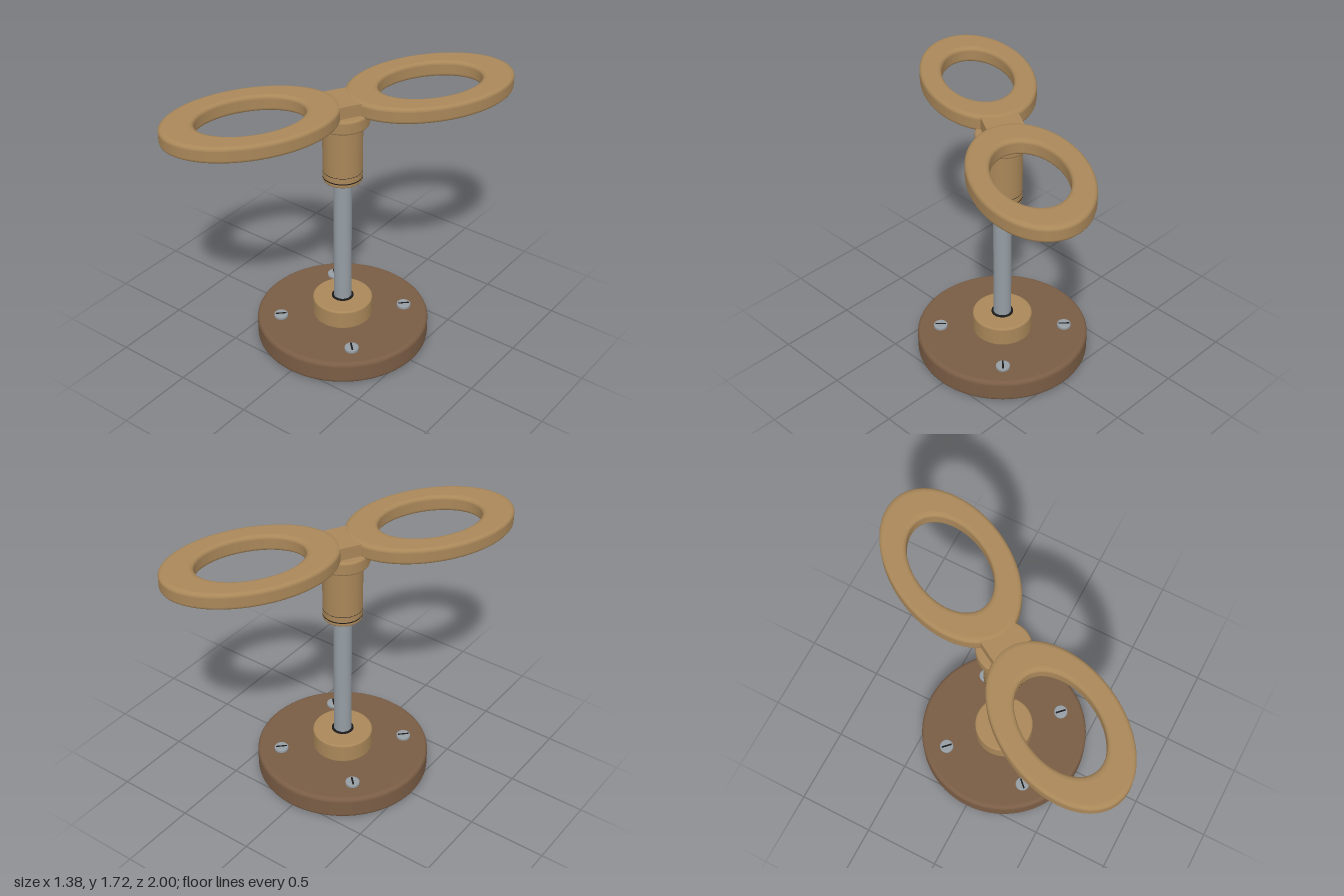
import * as THREE from 'three';

const mat = (name, color) => {
  const m = new THREE.MeshStandardMaterial({ color });
  m.name = name;
  return m;
};

// Lathe profile: rounded rectangle from radius r0 to r1 and height y0 to y1.
// Inner corners are rounded only when there is a hole (r0 > 0).
function roundedLathe(r0, r1, y0, y1, b, segments = 64) {
  const pts = [];
  const flat = 0.002; // short support step that keeps the flats shading flat
  const corner = (cx, cy, a0) => {
    const dir = (a) => [Math.cos(a), Math.sin(a)];
    const [ux, uy] = dir(a0), [vx, vy] = dir(a0 + Math.PI / 2);
    pts.push(new THREE.Vector2(cx + ux * b - vx * flat, cy + uy * b - vy * flat));
    for (let i = 0; i <= 5; i++) {
      const [c, s] = dir(a0 + (i / 5) * Math.PI / 2);
      pts.push(new THREE.Vector2(cx + c * b, cy + s * b));
    }
    pts.push(new THREE.Vector2(cx + vx * b - ux * flat, cy + vy * b - uy * flat));
  };
  if (r0 === 0) pts.push(new THREE.Vector2(0, y0));
  corner(r1 - b, y0 + b, -Math.PI / 2);
  corner(r1 - b, y1 - b, 0);
  if (r0 === 0) {
    pts.push(new THREE.Vector2(0, y1));
  } else {
    corner(r0 + b, y1 - b, Math.PI / 2);
    corner(r0 + b, y0 + b, Math.PI);
    pts.push(pts[0].clone());
  }
  return new THREE.LatheGeometry(pts, segments);
}

export function createModel() {
  const root = new THREE.Group();
  root.name = 'twinRingStand';

  const tan = mat('tan', 0xa98759);
  const brown = mat('brown', 0x7a5d45);
  const steel = mat('steel', 0x959da3);
  const black = mat('black', 0x1a1a1a);

  const add = (name, geometry, material, parent = root) => {
    const mesh = new THREE.Mesh(geometry, material);
    mesh.name = name;
    parent.add(mesh);
    return mesh;
  };

  // Base disc, hub and rod
  add('base', roundedLathe(0, 0.553, 0, 0.15, 0.025, 96), brown);
  add('hub', roundedLathe(0, 0.192, 0.145, 0.28, 0.012), tan);
  add('rod', new THREE.CylinderGeometry(0.057, 0.057, 0.95, 48), steel).position.y = 0.725;
  const seal = add('rodSeal', new THREE.TorusGeometry(0.062, 0.009, 10, 48), black);
  seal.rotation.x = Math.PI / 2;
  seal.position.y = 0.28;

  // Four slotted screws, slots pointing to the centre
  for (let i = 0; i < 4; i++) {
    const a = Math.PI / 4 + i * Math.PI / 2;
    const screw = new THREE.Group();
    screw.name = 'screw';
    screw.position.set(Math.cos(a) * 0.403, 0, -Math.sin(a) * 0.403);
    screw.rotation.y = a;
    root.add(screw);
    add('screwHead', roundedLathe(0, 0.045, 0.145, 0.171, 0.007, 32), steel, screw);
    add('screwSlot', new THREE.BoxGeometry(0.07, 0.004, 0.011), black, screw).position.y = 0.1705;
  }

  // Sleeve on top of the rod, with two fine grooves and a flange
  add('sleeve', roundedLathe(0, 0.123, 1.16, 1.58, 0.01), tan);
  for (const [y, h] of [[1.188, 0.007], [1.229, 0.003]]) {
    add('sleeveGroove', new THREE.CylinderGeometry(0.1235, 0.1235, h, 64, 1, true), black).position.y = y;
  }
  add('flange', roundedLathe(0, 0.164, 1.547, 1.637, 0.014), tan);

  // Two oval rings joined by a short bar, turned 60 degrees
  const head = new THREE.Group();
  head.name = 'ringHead';
  head.rotation.y = Math.PI / 3;
  root.add(head);
  const ringGeometry = roundedLathe(0.215, 0.348, 1.617, 1.722, 0.022, 96);
  ringGeometry.scale(1.555, 1, 1);
  for (const side of [1, -1]) {
    add('ovalRing', ringGeometry, tan, head).position.x = side * 0.575;
  }
  add('ringBridge', new THREE.BoxGeometry(0.3, 0.09, 0.23), tan, head).position.y = 1.67;

  return root;
}
